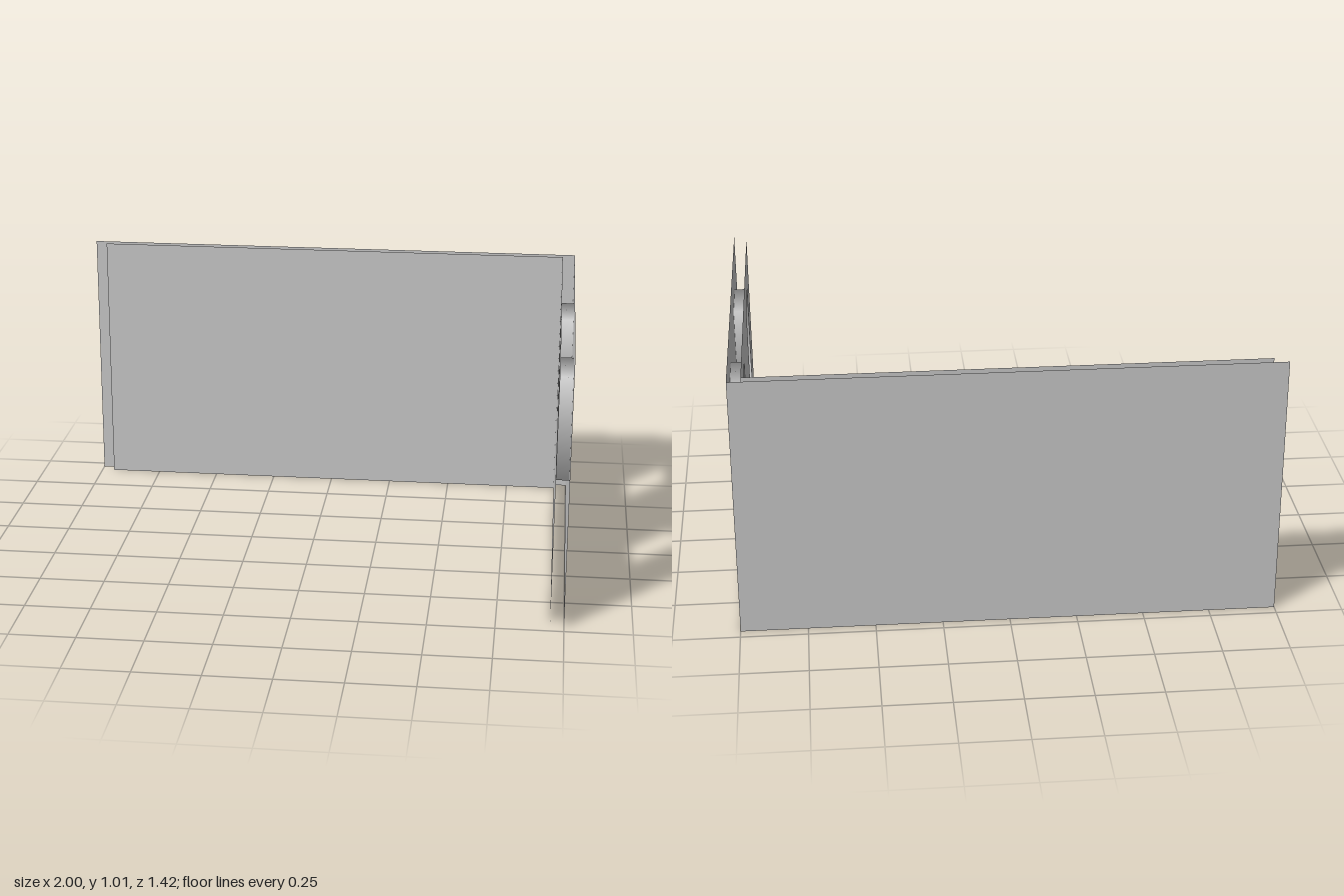
import * as THREE from 'three';

const H = 1.015;                 // wall height
const X = 1, Z = 0.71;           // outer half sizes
const IX = 0.95, IZ = 0.675;     // inner half sizes
const WIN = { z: 0.355, y0: 0.48, y1: 0.88, w: 0.23 };

const material = new THREE.MeshStandardMaterial({ color: 0xcccccc, side: THREE.DoubleSide });

// Counter-clockwise rectangle outline
function rect(path, x0, y0, x1, y1) {
  path.moveTo(x0, y0);
  path.lineTo(x1, y0);
  path.lineTo(x1, y1);
  path.lineTo(x0, y1);
  path.closePath();
  return path;
}

// Thin upright sheet, optionally pierced by the two windows
function sheet(name, half, windows, x, z, turn) {
  const shape = rect(new THREE.Shape(), -half, 0, half, H);
  if (windows) {
    for (const s of [-1, 1]) {
      const c = s * WIN.z;
      shape.holes.push(rect(new THREE.Path(), c - WIN.w / 2, WIN.y0, c + WIN.w / 2, WIN.y1));
    }
  }
  const mesh = new THREE.Mesh(new THREE.ShapeGeometry(shape), material);
  mesh.name = name;
  mesh.position.set(x, 0, z);
  mesh.rotation.y = turn;
  return mesh;
}

// Smooth-shaded four-sided sleeve lining a window opening
function windowReveal(z) {
  const geo = new THREE.CylinderGeometry(Math.SQRT1_2, Math.SQRT1_2, X - IX, 4, 1, true, Math.PI / 4);
  geo.rotateZ(Math.PI / 2);
  geo.scale(1, WIN.y1 - WIN.y0, WIN.w);
  const mesh = new THREE.Mesh(geo, material);
  mesh.name = 'windowReveal';
  mesh.position.set((X + IX) / 2, (WIN.y0 + WIN.y1) / 2, z);
  return mesh;
}

export function createModel() {
  const model = new THREE.Group();
  model.name = 'cornerWalls';

  // Solid back wall: two open-edged skins
  const backWall = new THREE.Group();
  backWall.name = 'backWall';
  backWall.add(sheet('backWallOuter', X, false, 0, -Z, Math.PI));
  backWall.add(sheet('backWallInner', IX, false, 0, -IZ, 0));

  // Side wall with two windows
  const windowWall = new THREE.Group();
  windowWall.name = 'windowWall';
  windowWall.add(sheet('windowWallOuter', Z, true, X, 0, Math.PI / 2));
  windowWall.add(sheet('windowWallInner', IZ, true, IX, 0, -Math.PI / 2));
  for (const s of [-1, 1]) windowWall.add(windowReveal(s * WIN.z));

  model.add(backWall, windowWall);
  return model;
}
